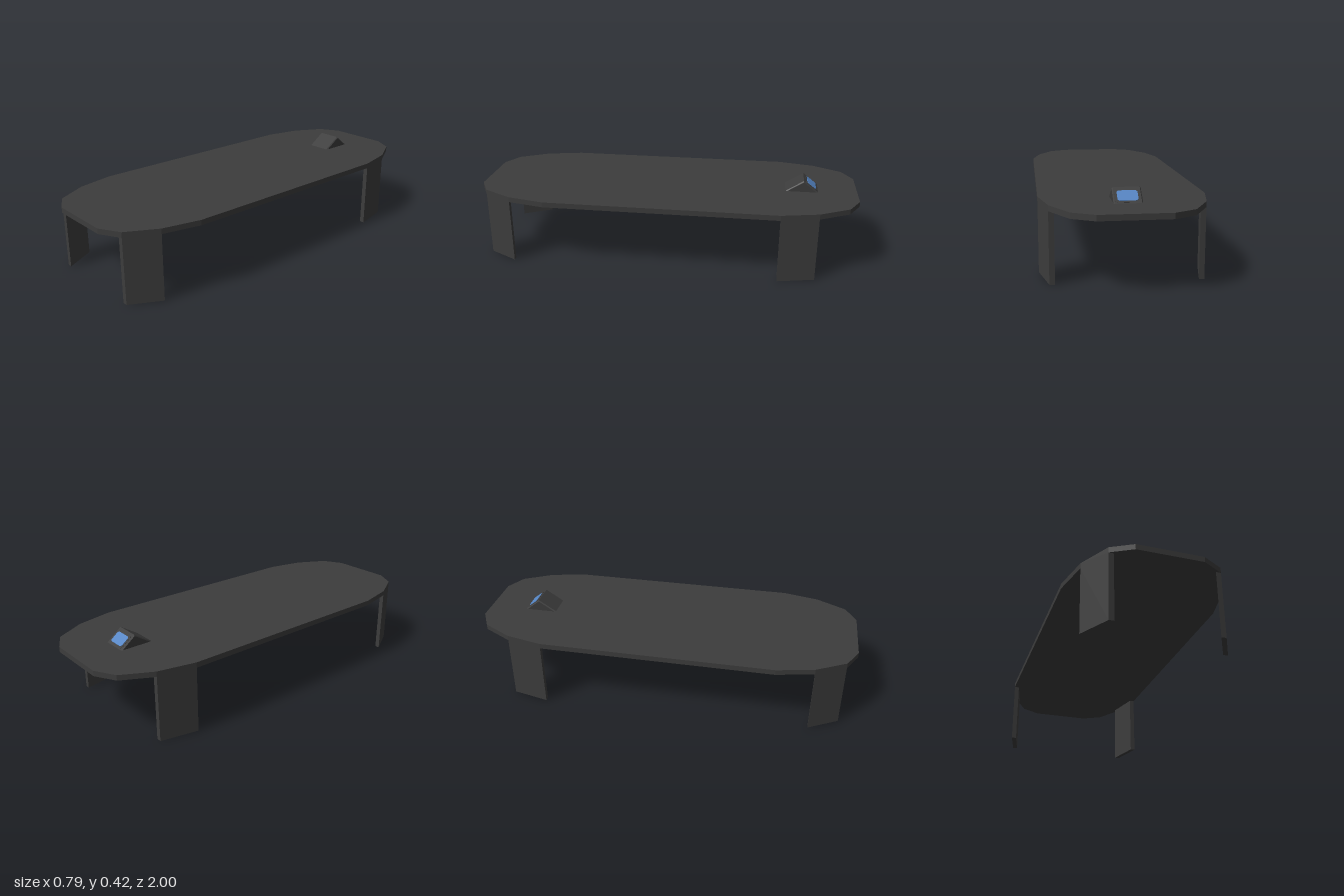
import * as THREE from 'three';

const TOP = 0.362, UNDER = 0.335;

export function createModel() {
  const model = new THREE.Group();
  const charcoal = new THREE.MeshStandardMaterial({ color: 0x3c3c3c });
  charcoal.name = 'charcoal';
  const blue = new THREE.MeshStandardMaterial({ color: 0x5585c4 });
  blue.name = 'screenBlue';

  const shapeOf = (pts) => new THREE.Shape(pts.map(([x, y]) => new THREE.Vector2(x, y)));
  const add = (name, geometry, material) => {
    const mesh = new THREE.Mesh(geometry, material);
    mesh.name = name;
    model.add(mesh);
    return mesh;
  };
  // Upright slab from a floor plan given as [x, z] points
  const slab = (plan, bottom, top) =>
    new THREE.ExtrudeGeometry(shapeOf(plan), { depth: top - bottom, bevelEnabled: false })
      .rotateX(Math.PI / 2).translate(0, top, 0);

  // Table top: one quarter of the outline, mirrored to the other three
  const quarter = [[0.394, 0.6], [0.352, 0.79], [0.268, 0.943], [0.163, 1]];
  const half = [...quarter, ...quarter.map(([x, z]) => [-x, z]).reverse()];
  const outline = [...half, ...half.map(([x, z]) => [-x, -z])];
  add('tableTop', slab(outline, UNDER, TOP), charcoal);

  // Legs: flat panels following an edge of the outline
  const thick = 0.025;
  const leg = (name, a, b, sx, sz) => {
    const plan = [a, b, [b[0] - thick, b[1]], [a[0] - thick, a[1]]]
      .map(([x, z]) => [x * sx, z * sz]);
    add(name, slab(plan, 0, UNDER), charcoal);
  };
  for (const [side, sx] of [['left', 1], ['right', -1]]) {
    leg(side + 'FrontLeg', quarter[1], quarter[2], sx, 1);
    leg(side + 'BackLeg', quarter[0], quarter[1], sx, -1);
  }

  // Console wedge, profile in [z, y], with lightly chamfered ends
  const peak = [-0.72, 0.422], foot = [-0.797, TOP];
  const bevel = 0.005, width = 0.132;
  const wedge = shapeOf([[-0.627, 0.355], [-0.627, TOP], peak, foot, [-0.797, 0.355]]);
  const wedgeGeo = new THREE.ExtrudeGeometry(wedge, {
    depth: width - 2 * bevel, bevelThickness: bevel, bevelSize: bevel,
    bevelOffset: -bevel, bevelSegments: 1,
  });
  wedgeGeo.translate(0, 0, bevel - width / 2).rotateY(-Math.PI / 2);
  add('console', wedgeGeo, charcoal);

  // Clipped-corner plates on the rear slope: bezel and screen
  const tilt = Math.atan2(peak[0] - foot[0], peak[1] - foot[1]);
  const plate = (name, w, h, depth, material) => {
    const c = 0.008, x = w / 2, y = h / 2;
    const shape = shapeOf([[x, c - y], [x, y - c], [x - c, y], [c - x, y],
      [-x, y - c], [-x, c - y], [c - x, -y], [x - c, -y]]);
    const mesh = add(name, new THREE.ExtrudeGeometry(shape, { depth, bevelEnabled: false }), material);
    mesh.position.set(0, 0.3895, -0.7617);
    mesh.rotation.set(-tilt, Math.PI, 0, 'YXZ');
  };
  plate('screenBezel', 0.112, 0.076, 0.001, charcoal);
  plate('screen', 0.094, 0.06, 0.003, blue);

  return model;
}
